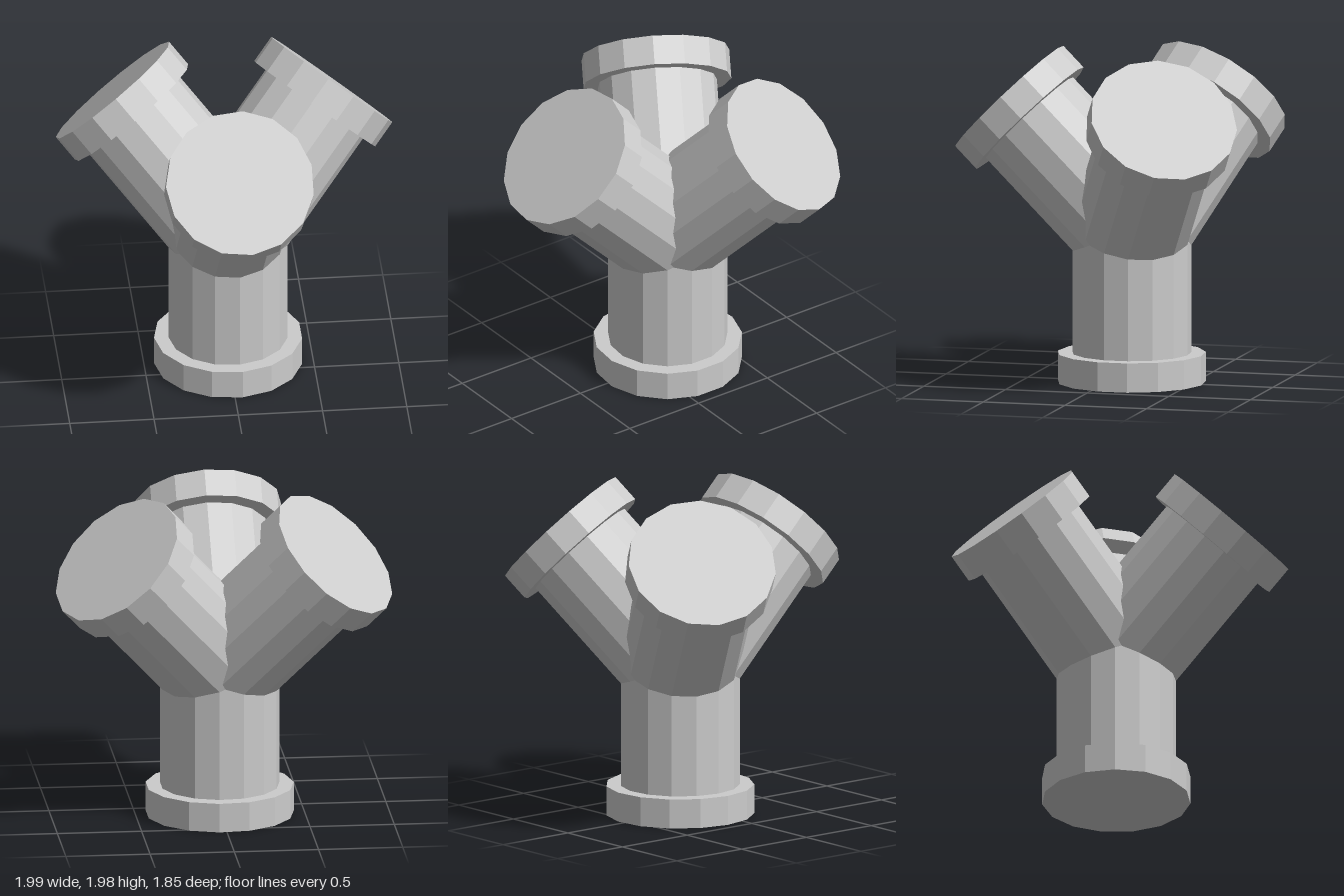
import * as THREE from 'three';

const SIDES = 15;
const TUBE_R = 0.354, FLANGE_R = 0.44, FLANGE_H = 0.175;
const AXIS_Z = -0.135, JOINT_Y = 0.922, ARM_LENGTH = 1.06;

const material = new THREE.MeshStandardMaterial({ color: 0xcccccc, flatShading: true });

// Faceted cylinder standing on y = bottom, with one corner pointing to -x
function drum(name, radius, bottom, height) {
  const geometry = new THREE.CylinderGeometry(radius, radius, height, SIDES, 1, false, -Math.PI / 2);
  geometry.translate(0, bottom + height / 2, 0);
  const mesh = new THREE.Mesh(geometry, material);
  mesh.name = name;
  return mesh;
}

export function createModel() {
  const model = new THREE.Group();
  model.name = 'pipeJunction';

  // Upright stem with its foot flange
  const stem = new THREE.Group();
  stem.name = 'stem';
  stem.position.z = AXIS_Z;
  stem.add(
    drum('stemFlange', FLANGE_R, 0, FLANGE_H),
    drum('stemPipe', TUBE_R, FLANGE_H, JOINT_Y - FLANGE_H)
  );
  model.add(stem);

  // Three flanged branches, tilted 45 degrees and spread evenly around the stem
  ['frontBranch', 'leftBranch', 'rightBranch'].forEach((name, i) => {
    const branch = new THREE.Group();
    branch.name = name;
    branch.add(
      drum('branchPipe', TUBE_R, 0, ARM_LENGTH - FLANGE_H),
      drum('branchFlange', FLANGE_R, ARM_LENGTH - FLANGE_H, FLANGE_H)
    );
    branch.position.set(0, JOINT_Y, AXIS_Z);
    branch.rotation.set(Math.PI / 4, (i * Math.PI * 2) / 3, 0, 'YXZ');
    model.add(branch);
  });

  return model;
}
